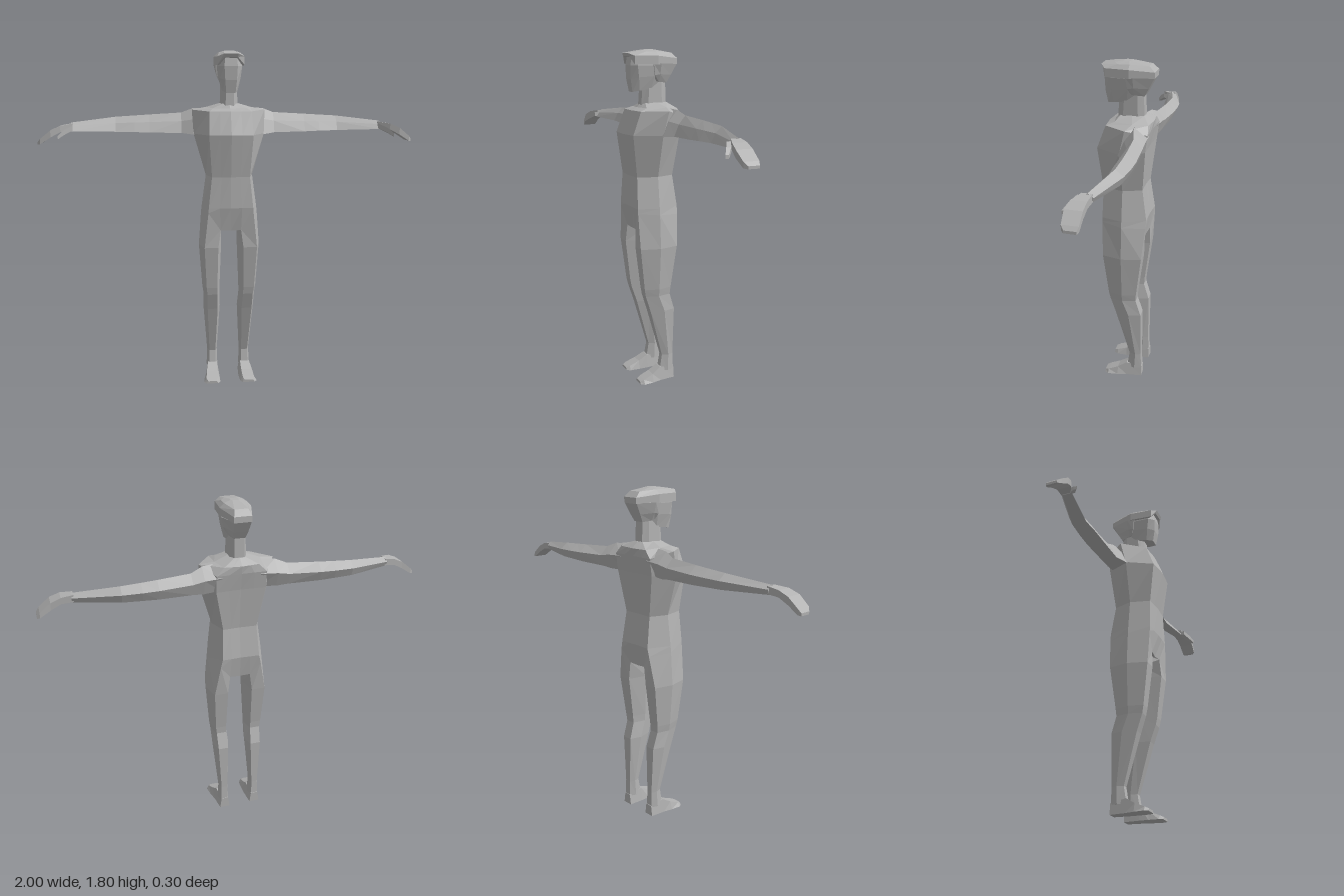
import * as THREE from 'three';

const grey = new THREE.MeshStandardMaterial({ color: 0xb2b2b2 });
grey.name = 'grey';

// Flat-faced skin through rings of [x, y, z] points, capped at both ends and turned outward
function loft(name, rings) {
  const tris = [];
  const n = rings[0].length;
  for (let r = 0; r + 1 < rings.length; r++) {
    const a = rings[r], b = rings[r + 1];
    for (let i = 0; i < n; i++) {
      const j = (i + 1) % n;
      tris.push([a[i], a[j], b[j]], [a[i], b[j], b[i]]);
    }
  }
  const middle = ring => [0, 1, 2].map(k => ring.reduce((s, p) => s + p[k], 0) / n);
  const first = rings[0], last = rings[rings.length - 1];
  const m0 = middle(first), m1 = middle(last);
  for (let i = 0; i < n; i++) {
    const j = (i + 1) % n;
    tris.push([m0, first[j], first[i]], [m1, last[i], last[j]]);
  }
  const v = p => new THREE.Vector3(...p);
  const volume = tris.reduce((s, t) => s + v(t[0]).dot(v(t[1]).cross(v(t[2]))), 0);
  if (volume < 0) tris.forEach(t => t.reverse());
  const geometry = new THREE.BufferGeometry();
  geometry.setAttribute('position', new THREE.Float32BufferAttribute(tris.flat(2), 3));
  geometry.computeVertexNormals();
  const mesh = new THREE.Mesh(geometry, grey);
  mesh.name = name;
  return mesh;
}

// Completes a half ring (front to back on +x) with its mirror image
const flip = p => [-p[0], p[1], p[2]];
const whole = half => [...half, ...half.slice().reverse().filter(p => p[0] > 0).map(flip)];

// Torso ring: front corner, side and back corner, with in-between points and centre line
const torsoRing = (y, fx, fz, fc, sx, sz, bx, bz, bc, ys = y, yb = y) => whole([
  [0, y, fc], [fx / 2, y, (fz + fc) / 2], [fx, y, fz], [sx, ys, sz],
  [bx, yb, bz], [bx / 2, yb, (bz + bc) / 2], [0, yb, bc],
]);

// Top of the leg, shared with the underside of the torso
const hip = {
  fo: [0.12, 0.96, 0.112], so: [0.152, 0.95, 0], bo: [0.11, 0.94, -0.12],
  bi: [0.055, 0.87, -0.105], si: [0.042, 0.84, 0], fi: [0.055, 0.865, 0.1],
};

// Leg ring: outer and inner sides, front and back depth
const legRing = (y, xi, xo, zf, zb, zs = (zf + zb) / 2) => {
  const inset = (xo - xi) * 0.2;
  return [[xo - inset, y, zf], [xo, y, zs], [xo - inset, y, zb],
    [xi + inset, y, zb], [xi, y, zs], [xi + inset, y, zf]];
};

// Arm ring: five-sided, with a ridge on top
const armRing = (x, yt, yb, zf, zb) => {
  const ym = yb + (yt - yb) * 0.58, w = zf - zb;
  return [[x, yt, zb + w * 0.42], [x, ym, zf - w * 0.24], [x, yb, zf],
    [x, yb, zb + w * 0.2], [x, ym, zb]];
};

const slab = (x, yt, yb, zf, zb) => [[x, yt, zf], [x, yb, zf], [x, yb, zb], [x, yt, zb]];
const footRing = (z, x0, x1, h) => [
  [x0, 0, z], [x1, 0, z], [x1 - (x1 - x0) * 0.15, h, z], [x0 + (x1 - x0) * 0.15, h, z]];

export function createModel() {
  const model = new THREE.Group();
  model.name = 'figure';

  // Torso from the crotch to the base of the neck
  model.add(loft('torso', [
    whole([[0, 0.86, 0.095], hip.fi, hip.fo, hip.so, hip.bo, hip.bi, [0, 0.865, -0.1]]),
    torsoRing(0.985, 0.118, 0.112, 0.118, 0.148, 0, 0.1, -0.122, -0.118),
    torsoRing(1.15, 0.1, 0.108, 0.116, 0.125, 0, 0.09, -0.098, -0.094),
    torsoRing(1.37, 0.115, 0.135, 0.148, 0.188, 0, 0.13, -0.12, -0.115),
    torsoRing(1.49, 0.11, 0.09, 0.098, 0.195, -0.03, 0.13, -0.132, -0.13, 1.495, 1.46),
    torsoRing(1.505, 0.09, 0.05, 0.065, 0.12, -0.05, 0.09, -0.125, -0.135, 1.508, 1.5),
    torsoRing(1.53, 0.03, 0.03, 0.04, 0.045, -0.03, 0.03, -0.09, -0.095),
  ]));

  // Neck
  const neckRing = (y, w, zf, zb) => whole([
    [w * 0.5, y, zf], [w, y, zf - 0.03], [w, y, zb + 0.03], [w * 0.6, y, zb]]);
  model.add(loft('neck', [neckRing(1.5, 0.044, 0.05, -0.09), neckRing(1.66, 0.04, 0.04, -0.085)]));

  // Head with a narrow chin
  model.add(loft('head', [
    whole([[0.024, 1.585, 0.1], [0.038, 1.592, 0.065], [0.04, 1.6, 0], [0.03, 1.63, -0.06]]),
    whole([[0.03, 1.65, 0.112], [0.053, 1.66, 0.075], [0.057, 1.665, -0.01], [0.04, 1.665, -0.08]]),
    whole([[0.034, 1.72, 0.115], [0.06, 1.72, 0.085], [0.064, 1.72, -0.01], [0.045, 1.72, -0.09]]),
    whole([[0.03, 1.775, 0.105], [0.055, 1.775, 0.075], [0.055, 1.775, 0], [0.03, 1.775, -0.08]]),
  ]));

  // Hair: overhanging cap and the tapered part at the nape
  model.add(loft('hairCap', [
    whole([[0.034, 1.765, 0.122], [0.07, 1.725, 0.105], [0.08, 1.725, -0.02], [0.045, 1.725, -0.145]]),
    whole([[0.036, 1.782, 0.13], [0.07, 1.768, 0.105], [0.08, 1.768, -0.02], [0.045, 1.755, -0.145]]),
    whole([[0.034, 1.794, 0.06], [0.056, 1.788, 0.04], [0.058, 1.79, -0.02], [0.035, 1.783, -0.115]]),
    whole([[0.015, 1.8, 0.02], [0.022, 1.8, 0.01], [0.022, 1.8, -0.01], [0.015, 1.8, -0.02]]),
  ]));
  model.add(loft('napeHair', [
    whole([[0.072, 1.728, 0.0], [0.078, 1.728, -0.04], [0.045, 1.728, -0.143]]),
    whole([[0.064, 1.67, -0.01], [0.064, 1.675, -0.04], [0.038, 1.67, -0.112]]),
    whole([[0.045, 1.64, -0.02], [0.045, 1.635, -0.04], [0.03, 1.63, -0.09]]),
  ]));

  // Limbs, built on the left and mirrored to the right
  for (const side of ['left', 'right']) {
    const limb = (part, rings) => model.add(loft(side + part,
      side === 'left' ? rings : rings.map(ring => ring.map(flip))));

    limb('Leg', [
      [hip.fo, hip.so, hip.bo, hip.bi, hip.si, hip.fi],
      legRing(0.77, 0.043, 0.165, 0.106, -0.105, 0),
      legRing(0.54, 0.052, 0.148, 0.078, -0.075, 0),
      legRing(0.5, 0.053, 0.142, 0.07, -0.072, 0),
      legRing(0.41, 0.048, 0.14, 0.04, -0.1, -0.035),
      legRing(0.14, 0.063, 0.118, -0.035, -0.1, -0.07),
      legRing(0.05, 0.06, 0.122, -0.02, -0.103, -0.065),
    ]);
    limb('Foot', [
      footRing(-0.105, 0.062, 0.118, 0.06),
      footRing(-0.02, 0.055, 0.128, 0.075),
      footRing(0.03, 0.054, 0.14, 0.045),
      footRing(0.085, 0.056, 0.147, 0.022),
      footRing(0.105, 0.068, 0.135, 0.013),
    ]);
    limb('Arm', [
      armRing(0.1, 1.505, 1.37, 0.04, -0.132),
      armRing(0.19, 1.5, 1.365, 0.005, -0.135),
      armRing(0.25, 1.477, 1.372, -0.03, -0.137),
      armRing(0.42, 1.467, 1.375, -0.035, -0.15),
      armRing(0.5, 1.462, 1.378, -0.037, -0.15),
      armRing(0.6, 1.456, 1.38, -0.045, -0.142),
      armRing(0.83, 1.43, 1.386, -0.012, -0.076),
    ]);
    limb('Hand', [
      slab(0.82, 1.426, 1.39, -0.02, -0.07),
      slab(0.88, 1.416, 1.384, 0.008, -0.065),
      slab(0.93, 1.394, 1.358, 0.02, -0.062),
      slab(0.985, 1.35, 1.323, 0.015, -0.062),
      slab(1.0, 1.333, 1.32, 0.0, -0.056),
    ]);
    limb('Thumb', [
      slab(0.82, 1.415, 1.39, 0.0, -0.03),
      slab(0.86, 1.395, 1.37, 0.025, 0.0),
      slab(0.89, 1.368, 1.35, 0.045, 0.028),
    ]);
  }
  return model;
}
